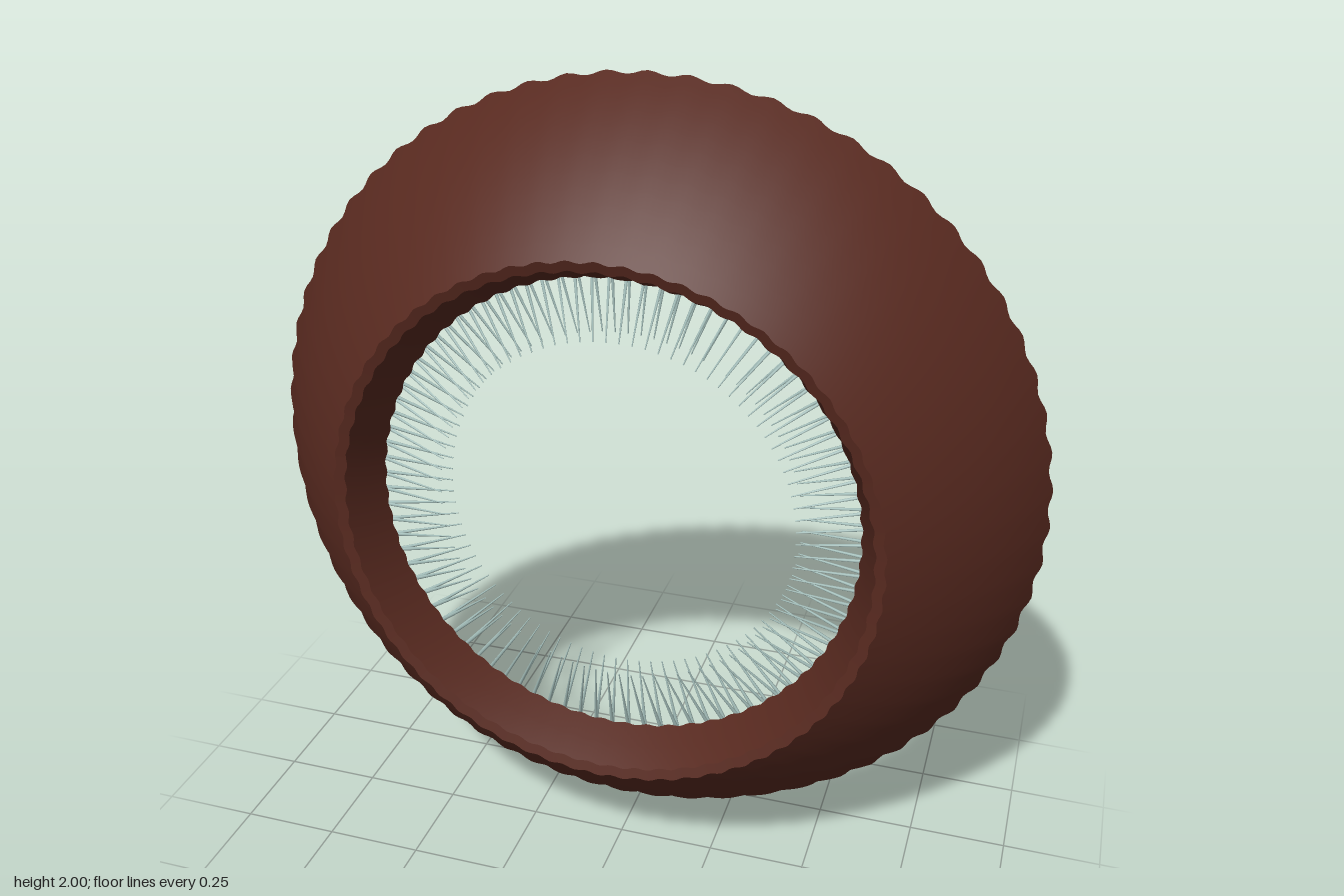
import * as THREE from 'three';

const BUMPS = 64, SPIKES = 90;

// Surface of revolution about z, with a scalloped radius and smooth shading
function scallopedRing(name, points, material) {
  const geo = new THREE.LatheGeometry(points.map(([r, z]) => new THREE.Vector2(r, z)), BUMPS * 6);
  const p = geo.attributes.position;
  for (let i = 0; i < p.count; i++) {
    const x = p.getX(i), z = p.getZ(i);
    const s = 1 - 0.01 * (0.5 - 0.5 * Math.cos(BUMPS * Math.atan2(z, x)));
    p.setX(i, x * s);
    p.setZ(i, z * s);
  }
  geo.rotateX(Math.PI / 2);
  const mesh = new THREE.Mesh(geo, material);
  mesh.name = name;
  return mesh;
}

// Tapered needle from its root to its tip
function needle(root, tip, material) {
  const dir = tip.clone().sub(root);
  const mesh = new THREE.Mesh(new THREE.CylinderGeometry(0.0015, 0.005, dir.length(), 6), material);
  mesh.position.copy(root).add(tip).multiplyScalar(0.5);
  mesh.quaternion.setFromUnitVectors(new THREE.Vector3(0, 1, 0), dir.normalize());
  mesh.name = 'needle';
  return mesh;
}

export function createModel() {
  const model = new THREE.Group();
  model.name = 'spikedRing';
  const brown = new THREE.MeshStandardMaterial({ color: 0x57291f });
  brown.name = 'reddish brown';
  const pale = new THREE.MeshStandardMaterial({ color: 0xa9c4c0 });
  pale.name = 'pale teal';

  // Hollow bowl: separate bands keep the rims sharp
  const body = new THREE.Group();
  body.name = 'body';
  body.position.y = 1;
  const outer = new THREE.QuadraticBezierCurve(
    new THREE.Vector2(1, -0.193), new THREE.Vector2(0.88, 0.02), new THREE.Vector2(0.675, 0.193)
  ).getPoints(12).map(v => [v.x, v.y]);
  body.add(
    scallopedRing('outerShell', outer, brown),
    scallopedRing('frontLip', [[0.675, 0.193], [0.65, 0.185]], brown),
    scallopedRing('throatWall', [[0.65, 0.185], [0.625, 0.13], [0.6, 0.063]], brown),
    scallopedRing('backFace', [[0.6, 0.063], [1, -0.193]], brown)
  );
  model.add(body);

  // Two rows of needles pointing at the middle, sharing their roots
  const spikes = new THREE.Group();
  spikes.name = 'spikes';
  spikes.position.y = 1;
  for (let i = 0; i < SPIKES; i++) {
    const t = i / SPIKES * Math.PI * 2;
    const at = (r, z) => new THREE.Vector3(r * Math.cos(t), r * Math.sin(t), z);
    for (const z of [0, 0.07]) spikes.add(needle(at(0.655, 0.008), at(0.445, z), pale));
  }
  model.add(spikes);
  return model;
}
